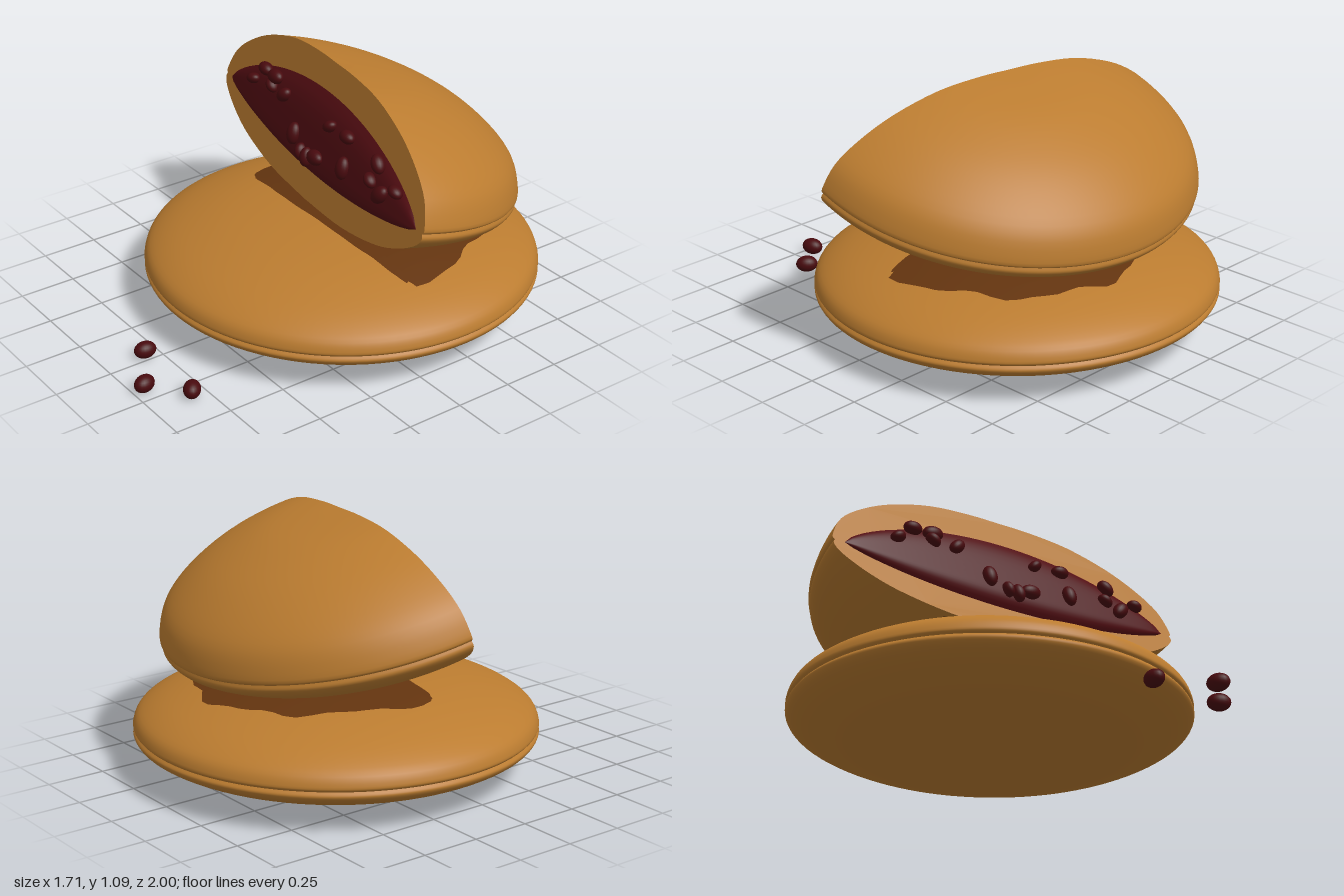
import * as THREE from 'three';

const mat = (name, color, side = THREE.FrontSide) => {
  const m = new THREE.MeshStandardMaterial({ color, side });
  m.name = name;
  return m;
};

// Smooth profile through a few [radius, height] points
const smooth = (pts, n = 28) =>
  new THREE.SplineCurve(pts.map(p => new THREE.Vector2(...p))).getPoints(n)
    .map(p => new THREE.Vector2(Math.max(p.x, 0), p.y));

// Height of a profile at a given radius
function heightAt(profile, r) {
  for (let i = 1; i < profile.length; i++) {
    const a = profile[i - 1], b = profile[i];
    if ((r - a.x) * (r - b.x) <= 0 && a.x !== b.x) {
      return a.y + (b.y - a.y) * (r - a.x) / (b.x - a.x);
    }
  }
  return profile[0].y;
}

// D-shaped thin patch lying on a round surface, facing up or down
function patchGeometry(profile, facing, { cx, cz, rx, back, front }) {
  const g = new THREE.RingGeometry(0.001, 1, 72, 8);
  const p = g.attributes.position;
  for (let i = 0; i < p.count; i++) {
    const a = p.getX(i), b = p.getY(i);
    const t = Math.atan2(b, a);
    const wobble = 1 + 0.025 * Math.sin(9 * t) + 0.015 * Math.sin(17 * t + 1);
    const x = cx + a * rx * wobble;
    const dz = -b * facing;
    const z = cz + dz * (dz < 0 ? back : front) * wobble;
    p.setXYZ(i, x, heightAt(profile, Math.hypot(x, z)) + 0.005 * facing, z);
  }
  g.computeVertexNormals();
  return g;
}

export function createModel() {
  const model = new THREE.Group();
  const dough = mat('golden dough', 0xbb7c30);
  const paste = mat('dark red paste', 0x520d12, THREE.DoubleSide);
  const beanRed = mat('bean red', 0x480a0e);
  const browned = mat('browned dough', 0x63340f, THREE.DoubleSide);

  const add = (parent, name, geometry, material) => {
    const m = new THREE.Mesh(geometry, material);
    m.name = name;
    parent.add(m);
    return m;
  };

  // Whole cake: two domed shells meeting at a shallow seam
  const whole = new THREE.Group();
  whole.name = 'wholeCake';
  whole.position.z = -0.16;
  whole.scale.z = 0.988;
  model.add(whole);
  const wholeLower = smooth([[0, 0.015], [0.3, 0.022], [0.55, 0.05], [0.72, 0.092],
    [0.82, 0.137], [0.852, 0.17], [0.842, 0.19]]);
  const wholeUpper = smooth([[0.842, 0.19], [0.852, 0.21], [0.82, 0.265], [0.7, 0.328],
    [0.5, 0.383], [0.25, 0.413], [0, 0.42]]);
  add(whole, 'wholeLowerShell', new THREE.LatheGeometry(wholeLower, 96), dough);
  add(whole, 'wholeUpperShell', new THREE.LatheGeometry(wholeUpper, 96), dough);
  add(whole, 'wholeBrownedPatch', patchGeometry(wholeUpper, 1,
    { cx: 0.06, cz: 0.1, rx: 0.57, back: 0.68, front: 0.07 }), browned);

  // Half cake, leaning on the whole one with its cut side forward
  const half = new THREE.Group();
  half.name = 'halfCake';
  half.position.set(0, 0.73, -0.03);
  half.rotation.set(-0.25, -0.137, 0, 'YXZ');
  model.add(half);
  const halfLower = smooth([[0, -0.237], [0.3, -0.225], [0.55, -0.182], [0.7, -0.13],
    [0.81, -0.068], [0.85, -0.025], [0.845, 0]]);
  const halfUpper = smooth([[0.845, 0], [0.852, 0.025], [0.805, 0.125], [0.7, 0.212],
    [0.55, 0.29], [0.35, 0.35], [0.15, 0.37], [0, 0.371]]);
  add(half, 'halfLowerShell',
    new THREE.LatheGeometry(halfLower, 64, Math.PI / 2, Math.PI), dough);
  add(half, 'halfUpperShell',
    new THREE.LatheGeometry(halfUpper, 64, Math.PI / 2, Math.PI), dough);
  add(half, 'halfBrownedPatch', patchGeometry(halfLower, -1,
    { cx: 0.12, cz: -0.03, rx: 0.46, back: 0.55, front: 0.02 }), browned);

  // Cut face: dough outline with a lens-shaped opening
  const lens = t => Math.pow(Math.max(0, 1 - t * t), 0.75);
  const fillX = 0.8, fillTop = 0.243, fillBottom = 0.113;
  const right = [...halfLower, ...halfUpper.slice(1)];
  const left = right.slice(1, -1).reverse().map(p => new THREE.Vector2(-p.x, p.y));
  const face = new THREE.Shape([...right, ...left]);
  const opening = [];
  for (let i = 0; i < 48; i++) {
    const t = -1 + i / 24;
    opening.push(new THREE.Vector2(t * fillX, lens(t) * fillTop));
  }
  for (let i = 0; i < 48; i++) {
    const t = 1 - i / 24;
    opening.push(new THREE.Vector2(t * fillX, -lens(t) * fillBottom));
  }
  face.holes.push(new THREE.Path(opening));
  add(half, 'cutFace', new THREE.ShapeGeometry(face), dough);

  // Filling bulging from the opening
  const bulge = (t, s) => 0.035 * Math.sqrt(Math.max(0, 1 - t * t)) * (1 - s ** 4);
  const fill = new THREE.PlaneGeometry(2, 2, 48, 16);
  const p = fill.attributes.position;
  for (let i = 0; i < p.count; i++) {
    const t = p.getX(i), s = p.getY(i);
    p.setXYZ(i, t * fillX, s * lens(t) * (s > 0 ? fillTop : fillBottom), bulge(t, s));
  }
  fill.computeVertexNormals();
  add(half, 'filling', fill, paste);

  // Beans set in the filling: x, height above the seam, turn
  const bean = new THREE.SphereGeometry(1, 20, 14);
  const setBeans = [
    [-0.56, 0.085, 1.9], [-0.48, 0.16, 1.5], [-0.385, 0.16, 1.7], [-0.39, 0.12, 0.9],
    [-0.275, 0.12, 2.3], [-0.13, 0.005, 0.1], [-0.045, -0.04, 0.3], [0.005, -0.045, 0.2],
    [0.07, -0.02, 1.7], [0.12, 0.14, 2.2], [0.255, 0.15, 1.6], [0.28, 0.025, 0.1],
    [0.48, 0.062, 1.0], [0.5, 0.14, 0.8], [0.56, 0.035, 2.4], [0.65, 0.088, 1.3]];
  setBeans.forEach(([x, y, turn], i) => {
    const b = add(half, 'fillingBean', bean, beanRed);
    const s = y > 0 ? y / fillTop : -y / fillBottom;
    b.position.set(x, y, bulge(x / fillX, s) + 0.008);
    b.rotation.z = turn;
    const k = 0.85 + 0.15 * (i % 3);
    b.scale.set(0.028 * k, 0.042 * k, 0.03);
  });

  // Loose beans in front
  [[-0.025, 0.82, -0.1], [0.33, 0.82, 0.9], [0.185, 0.952, 0.3]].forEach(([x, z, turn]) => {
    const b = add(model, 'looseBean', bean, beanRed);
    b.position.set(x, 0.04, z);
    b.rotation.y = turn;
    b.scale.set(0.036, 0.036, 0.048);
  });

  return model;
}
